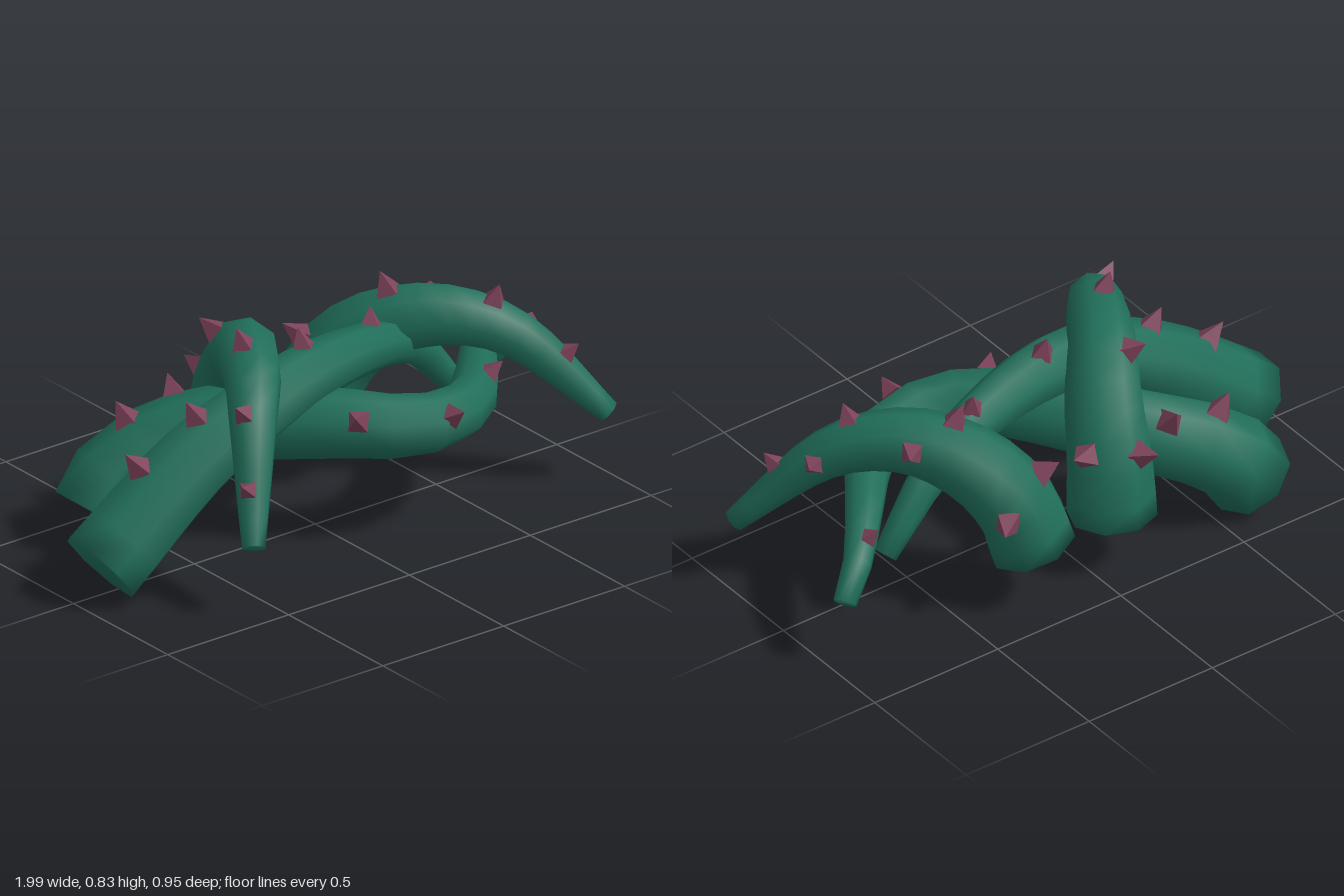
import * as THREE from 'three';
import { mergeVertices } from 'three/addons/utils/BufferGeometryUtils.js';

const SEGMENTS = 16, SIDES = 8;
const UP = new THREE.Vector3(0, 1, 0);

const vineGreen = new THREE.MeshStandardMaterial({ color: 0x206e5a });
vineGreen.name = 'vine green';
const thornPurple = new THREE.MeshStandardMaterial({ color: 0x7d4259 });
thornPurple.name = 'thorn purple';

const radiusAt = (t) => 0.15 - 0.11 * Math.pow(t, 1.35);

// Stem: unit tube shrunk ring by ring to the tapering radius, closed and smoothed over both ends
function stemGeometry(curve, twist) {
  const tube = new THREE.TubeGeometry(curve, SEGMENTS, 1, SIDES);
  const pos = tube.attributes.position;
  const v = new THREE.Vector3();
  for (let i = 0; i <= SEGMENTS; i++) {
    const t = i / SEGMENTS, centre = curve.getPointAt(t), tangent = curve.getTangentAt(t);
    for (let j = 0; j <= SIDES; j++) {
      const k = i * (SIDES + 1) + j;
      v.fromBufferAttribute(pos, k).sub(centre).applyAxisAngle(tangent, twist)
        .multiplyScalar(radiusAt(t)).add(centre);
      pos.setXYZ(k, v.x, v.y, v.z);
    }
  }
  const faces = Array.from(tube.index.array), last = SEGMENTS * (SIDES + 1);
  for (let j = 1; j < SIDES - 1; j++) {
    faces.push(0, j, j + 1, last, last + j + 1, last + j);
  }
  tube.setIndex(faces);
  tube.deleteAttribute('uv');
  tube.deleteAttribute('normal');
  const stem = mergeVertices(tube);
  stem.computeVertexNormals();
  return stem;
}

// path: centre line from root to tip; thorns: [place along the vine, degrees around it from the top]
function makeVine(name, path, thorns, twist = 0) {
  const vine = new THREE.Group();
  vine.name = name;
  const curve = new THREE.CatmullRomCurve3(path.map((p) => new THREE.Vector3(...p)));
  const stem = new THREE.Mesh(stemGeometry(curve, twist), vineGreen);
  stem.name = 'stem';
  vine.add(stem);

  // Thorns: four-sided spikes standing straight out of the stem
  for (const [t, degrees] of thorns) {
    const tangent = curve.getTangentAt(t), r = radiusAt(t), height = 0.032 + 0.4 * r;
    const out = UP.clone().projectOnPlane(tangent).normalize()
      .applyAxisAngle(tangent, THREE.MathUtils.degToRad(degrees));
    const cone = new THREE.ConeGeometry(0.025 + 0.2 * r, height, 4).toNonIndexed();
    cone.computeVertexNormals();
    const thorn = new THREE.Mesh(cone, thornPurple);
    thorn.name = 'thorn';
    thorn.quaternion.setFromUnitVectors(UP, out);
    thorn.position.copy(curve.getPointAt(t)).addScaledVector(out, r * 0.88 + height / 2);
    vine.add(thorn);
  }
  return vine;
}

export function createModel() {
  const model = new THREE.Group();
  model.name = 'thornyVines';
  model.add(
    makeVine('longVine',
      [[-0.903, 0.105, 0.02], [-0.55, 0.385, 0.045], [-0.3, 0.51, 0.06], [-0.06, 0.56, 0.03],
        [0.32, 0.53, -0.06], [0.5, 0.45, -0.11], [0.69, 0.247, -0.14]],
      [[0.17, -8], [0.295, -3], [0.535, -15], [0.71, -10]], Math.PI / SIDES),
    makeVine('windingVine',
      [[-0.655, 0.1, -0.325], [-0.55, 0.235, -0.325], [-0.29, 0.36, -0.19], [-0.01, 0.405, 0.12], [0.12, 0.4, 0.24],
        [0.27, 0.39, 0.285], [0.45, 0.385, 0.235], [0.72, 0.38, -0.06], [0.84, 0.345, -0.2], [0.95, 0.24, -0.27]],
      [[0.12, 0], [0.19, -35], [0.455, 60], [0.575, 60], [0.713, 42], [0.905, -35]]),
    makeVine('tallArchVine',
      [[-0.095, 0.185, -0.323], [-0.1, 0.37, -0.305], [-0.15, 0.55, -0.2], [-0.25, 0.658, -0.055],
        [-0.34, 0.66, 0.1], [-0.43, 0.59, 0.22], [-0.598, 0.24, 0.44]],
      [[0.17, -45], [0.16, 38], [0.38, 50], [0.53, 17], [0.7, 25], [0.87, 20]]),
    makeVine('lowArchVine',
      [[0.23, 0.205, -0.323], [0.275, 0.36, -0.3], [0.36, 0.495, -0.22], [0.48, 0.573, -0.09],
        [0.6, 0.577, 0.02], [0.73, 0.515, 0.13], [0.965, 0.24, 0.318]],
      [[0.17, 5], [0.15, -92], [0.375, 5], [0.45, -76], [0.6, 8], [0.705, -70], [0.81, 12]]),
  );
  return model;
}
